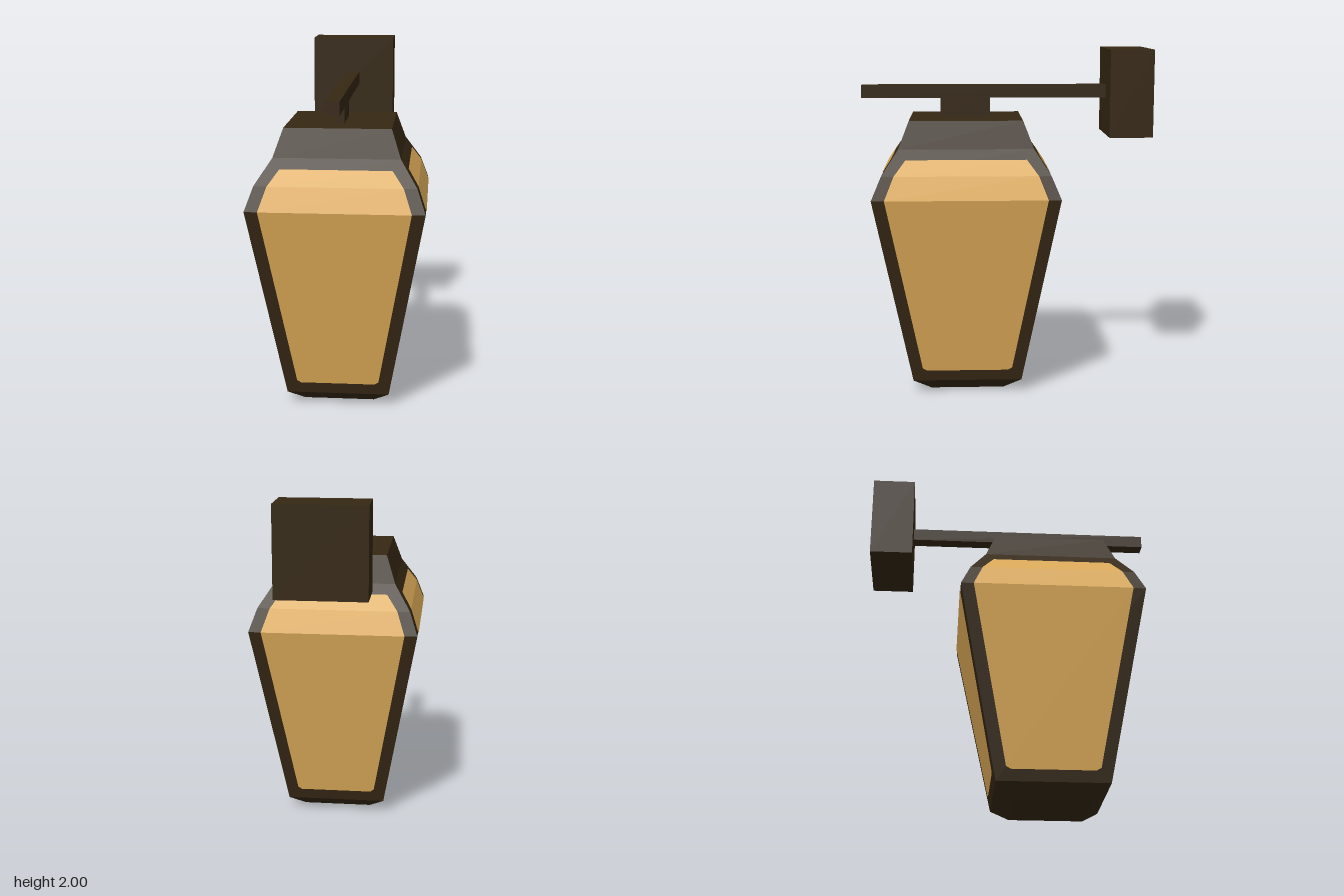
import * as THREE from 'three';

const metal = new THREE.MeshStandardMaterial({ color: 0x352713 });
metal.name = 'darkBronze';
const amber = new THREE.MeshStandardMaterial({ color: 0xdcaa58 });
amber.name = 'amberGlass';

// lantern body cross-sections from the bottom up: [y, half width x, half depth z]
const BODY = [
  [0, 0.2, 0.215], [0.075, 0.29, 0.318], [1.18, 0.486, 0.53],
  [1.31, 0.44, 0.475], [1.45, 0.348, 0.383], [1.605, 0.295, 0.323],
];
// glass outline: [y, half span on front and back, half span on the sides]
const GLASS = [
  [0.14, 0.21, 0.235], [0.155, 0.232, 0.262], [1.18, 0.413, 0.457],
  [1.31, 0.368, 0.405], [1.395, 0.305, 0.34],
];

// turns (across, y, outward) into a point on one of the four faces
const FACES = [
  ['front', (u, y, d) => [u, y, d]],
  ['left', (u, y, d) => [d, y, -u]],
  ['back', (u, y, d) => [-u, y, -d]],
  ['right', (u, y, d) => [-d, y, u]],
];

function quad(out, a, b, c, d) {
  out.push(...a, ...b, ...c, ...a, ...c, ...d);
}

function mesh(name, positions, material) {
  const g = new THREE.BufferGeometry();
  g.setAttribute('position', new THREE.Float32BufferAttribute(positions, 3));
  g.computeVertexNormals();
  const m = new THREE.Mesh(g, material);
  m.name = name;
  return m;
}

// half size of the body at a height; axis 1 = x, 2 = z
function bodyHalf(y, axis) {
  let i = 0;
  while (i < BODY.length - 2 && y > BODY[i + 1][0]) i++;
  const a = BODY[i], b = BODY[i + 1];
  return THREE.MathUtils.lerp(a[axis], b[axis], (y - a[0]) / (b[0] - a[0]));
}

function box(name, x, y0, y1, z0, z1) {
  const m = new THREE.Mesh(new THREE.BoxGeometry(x * 2, y1 - y0, z1 - z0), metal);
  m.position.set(0, (y0 + y1) / 2, (z0 + z1) / 2);
  m.name = name;
  return m;
}

export function createModel() {
  const root = new THREE.Group();
  root.name = 'wallLantern';
  const lantern = new THREE.Group();
  lantern.name = 'lantern';
  lantern.position.z = 0.231;
  root.add(lantern);

  // solid frame, four faces plus caps
  const frame = [];
  FACES.forEach(([name, at], k) => {
    const across = k % 2 ? 2 : 1, outward = k % 2 ? 1 : 2;
    for (let i = 0; i < BODY.length - 1; i++) {
      const a = BODY[i], b = BODY[i + 1];
      quad(frame, at(-a[across], a[0], a[outward]), at(a[across], a[0], a[outward]),
        at(b[across], b[0], b[outward]), at(-b[across], b[0], b[outward]));
    }

    // thin glass pane following the face
    const pane = [];
    for (let i = 0; i < GLASS.length - 1; i++) {
      const a = GLASS[i], b = GLASS[i + 1];
      const da = bodyHalf(a[0], outward) + 0.004, db = bodyHalf(b[0], outward) + 0.004;
      quad(pane, at(-a[across], a[0], da), at(a[across], a[0], da),
        at(b[across], b[0], db), at(-b[across], b[0], db));
    }
    lantern.add(mesh(name + 'Glass', pane, amber));
  });
  const [y0, x0, z0] = BODY[0], [y1, x1, z1] = BODY[BODY.length - 1];
  quad(frame, [-x1, y1, z1], [x1, y1, z1], [x1, y1, -z1], [-x1, y1, -z1]);
  quad(frame, [-x0, y0, -z0], [x0, y0, -z0], [x0, y0, z0], [-x0, y0, z0]);
  lantern.add(mesh('frame', frame, metal));

  // bracket
  root.add(
    box('hanger', 0.025, 1.6, 1.72, 0.09, 0.38),
    box('arm', 0.038, 1.715, 1.79, -0.6, 0.84),
    box('wallMount', 0.25, 1.5, 2, -0.84, -0.59),
  );
  return root;
}
